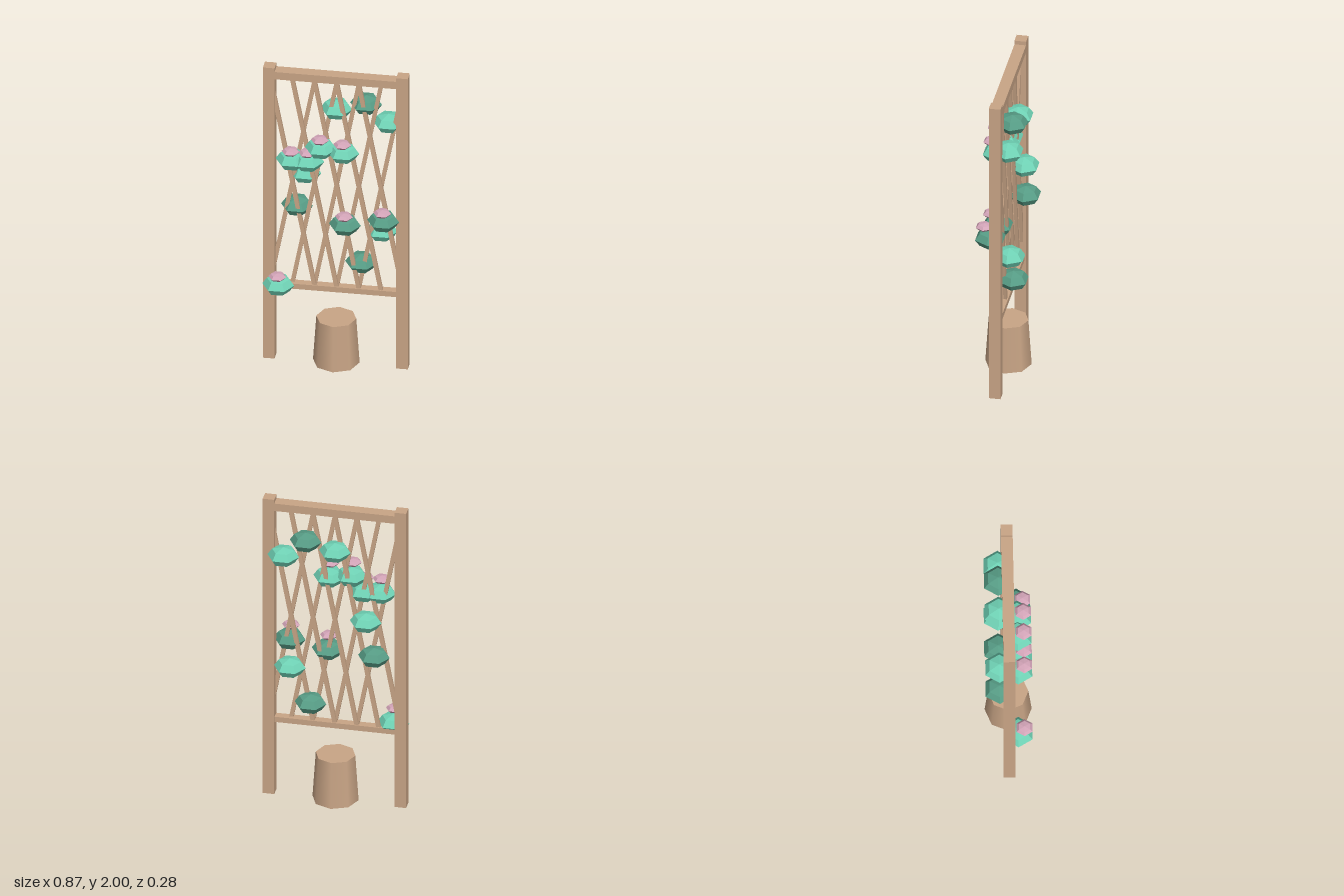
import * as THREE from 'three';

export function createModel() {
  const group = new THREE.Group();
  const material = (name, color, flatShading = true) => {
    const m = new THREE.MeshStandardMaterial({ color, flatShading });
    m.name = name;
    return m;
  };
  const wood = material('wood', 0xc9a586, false);
  const lightGreen = material('light green', 0x70d3b6);
  const darkGreen = material('dark green', 0x579d86);
  const pink = material('pink', 0xd4a5b9);

  const add = (name, geometry, mat, x, y, z, parent = group) => {
    const mesh = new THREE.Mesh(geometry, mat);
    mesh.name = name;
    mesh.position.set(x, y, z);
    parent.add(mesh);
    return mesh;
  };

  // Frame: two posts and two rails
  for (const [name, side] of [['leftPost', 1], ['rightPost', -1]]) {
    add(name, new THREE.BoxGeometry(0.07, 2, 0.07), wood, side * 0.4, 1, 0);
  }
  add('topRail', new THREE.BoxGeometry(0.73, 0.05, 0.07), wood, 0, 1.95, 0);
  add('bottomRail', new THREE.BoxGeometry(0.73, 0.035, 0.05), wood, 0, 0.503, 0);

  // Crossed lattice slats
  const lattice = new THREE.Group();
  lattice.name = 'lattice';
  group.add(lattice);
  const slat = new THREE.BoxGeometry(0.025, 1.43, 0.02);
  for (const lean of [-1, 1]) {
    for (let i = -2; i <= 2; i++) {
      const mesh = add('slat', slat, wood, i * 0.133 + 0.003, 1.22, lean * 0.008, lattice);
      mesh.rotation.z = lean * 0.187;
    }
  }

  // Planter tub below the lattice
  add('planter', new THREE.CylinderGeometry(0.12, 0.14, 0.3, 8), wood, 0, 0.15, 0);

  // Squashed six-sided leaf clumps; the front ones carry a blossom
  const leafShape = new THREE.SphereGeometry(0.096, 6, 4).scale(1, 0.6, 1);
  const blossomShape = new THREE.SphereGeometry(0.054, 6, 4).scale(1, 0.42, 1);
  const frontLeaves = [
    [-0.34, 0.525, lightGreen], [-0.26, 1.395, lightGreen], [-0.16, 1.395, lightGreen],
    [-0.085, 1.49, lightGreen], [0.05, 1.47, lightGreen], [0.06, 0.975, darkGreen],
    [0.29, 1.02, darkGreen],
  ];
  const backLeaves = [
    [-0.008, 1.705, lightGreen], [0.17, 1.755, darkGreen], [0.305, 1.64, lightGreen],
    [-0.195, 1.25, lightGreen], [-0.245, 1.02, darkGreen], [0.265, 0.89, lightGreen],
    [0.14, 0.66, darkGreen],
  ];
  for (const [x, y, mat] of frontLeaves) {
    add('frontLeafClump', leafShape, mat, x, y, 0.054);
    add('blossom', blossomShape, pink, x, y + 0.075, 0.09);
  }
  for (const [x, y, mat] of backLeaves) {
    add('backLeafClump', leafShape, mat, x, y, -0.056);
  }
  return group;
}
